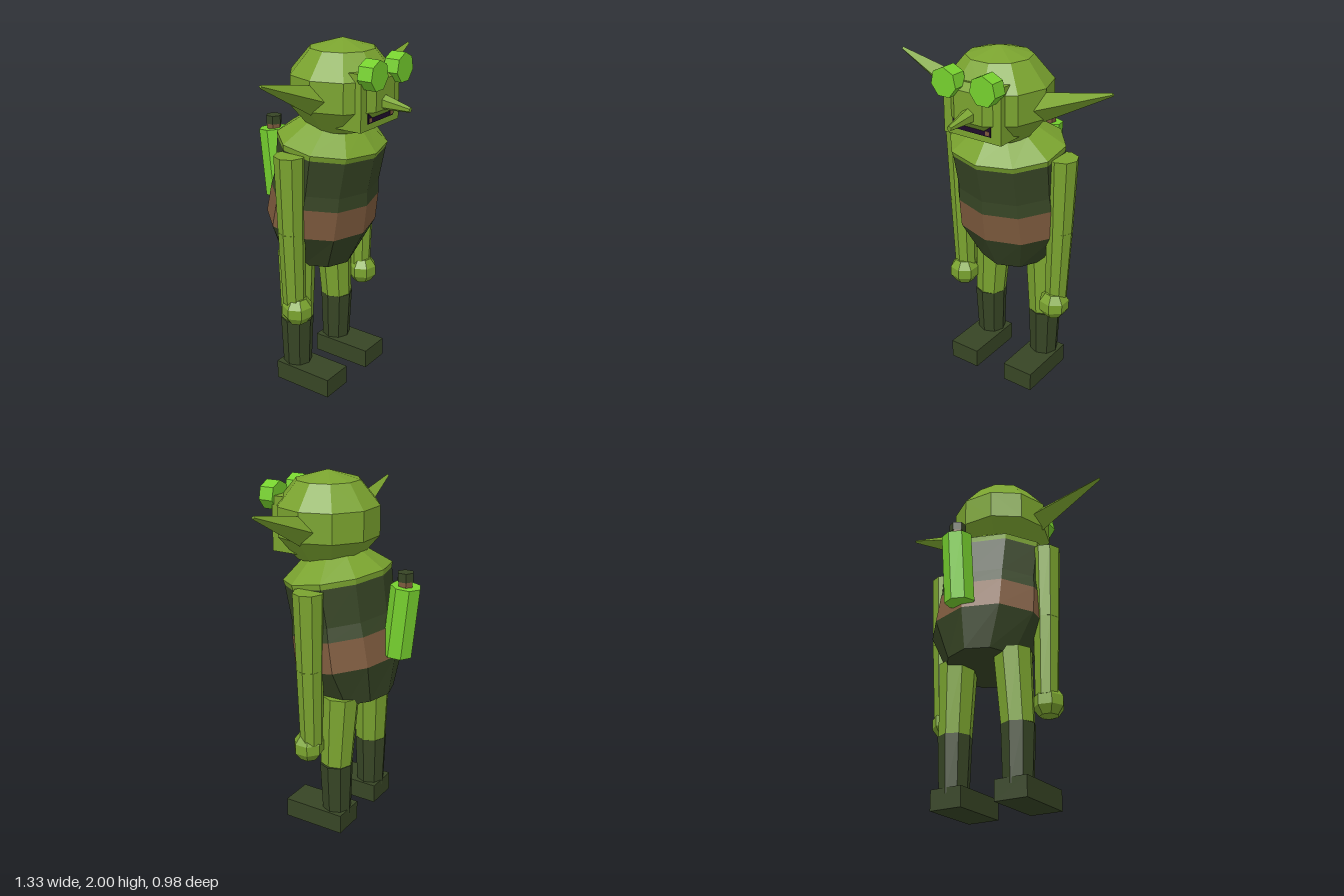
import * as THREE from 'three';

const paint = (name, color) => {
  const m = new THREE.MeshStandardMaterial({ color });
  m.name = name;
  return m;
};

export function createModel() {
  const skin = paint('skin green', 0x7aa32f);
  const glow = paint('bright green', 0x76d02e);
  const cloth = paint('dark green cloth', 0x374525);
  const leather = paint('brown leather', 0x7d5a3d);
  const mouthDark = paint('mouth purple', 0x1f0c2a);

  const model = new THREE.Group();
  model.name = 'creature';

  // Adds a faceted mesh
  function add(name, geometry, material, parent = model) {
    const flat = geometry.index ? geometry.toNonIndexed() : geometry;
    flat.computeVertexNormals();
    const mesh = new THREE.Mesh(flat, material);
    mesh.name = name;
    parent.add(mesh);
    return mesh;
  }

  // Tapered prism running from point a to point b
  function taper(name, a, b, ra, rb, sides, material, turn = 0) {
    const from = new THREE.Vector3(...a), to = new THREE.Vector3(...b);
    const axis = to.clone().sub(from);
    const mesh = add(name, new THREE.CylinderGeometry(rb, ra, axis.length(), sides, 1, false, turn), material);
    mesh.position.copy(from).add(to).multiplyScalar(0.5);
    mesh.quaternion.setFromUnitVectors(new THREE.Vector3(0, 1, 0), axis.normalize());
    return mesh;
  }

  function box(name, w, h, d, x, y, z, material) {
    const mesh = add(name, new THREE.BoxGeometry(w, h, d), material);
    mesh.position.set(x, y, z);
    return mesh;
  }

  // Torso: ten-sided rings [height, x radius, z radius] along a forward-leaning axis
  const torso = new THREE.Group();
  torso.name = 'torso';
  torso.position.set(0, 0.98, -0.07);
  torso.rotation.x = 0.163;
  model.add(torso);
  const rings = [
    [-0.222, 0.225, 0.218], [0, 0.347, 0.29], [0.168, 0.338, 0.283], [0.245, 0.325, 0.272],
    [0.452, 0.334, 0.28], [0.482, 0.338, 0.287], [0.58, 0.19, 0.176], [0.62, 0.01, 0.01],
  ];
  const sections = [
    ['shirtHem', cloth], ['belt', leather], ['shirtMiddle', cloth], ['shirtChest', cloth],
    ['collar', skin], ['shoulders', skin], ['neck', skin],
  ];
  sections.forEach(([name, material], i) => {
    const [lo, hi] = [rings[i], rings[i + 1]];
    const geometry = new THREE.CylinderGeometry(1, 1, 1, 10, 1, i > 0);
    const p = geometry.attributes.position;
    for (let k = 0; k < p.count; k++) {
      const [t, rx, rz] = p.getY(k) > 0 ? hi : lo;
      p.setXYZ(k, p.getX(k) * rx, t, p.getZ(k) * rz);
    }
    add(name, geometry, material, torso);
  });

  // Head and face
  const head = add('head', new THREE.SphereGeometry(0.3, 10, 5), skin);
  head.scale.y = 0.26 / 0.3;
  head.position.set(0, 1.74, 0.07);
  box('face', 0.36, 0.3, 0.2, 0, 1.715, 0.21, skin);
  taper('nose', [0, 1.7, 0.29], [0, 1.677, 0.49], 0.05, 0.014, 6, skin);

  // Mouth: thin plate with a notched upper lip
  const lips = new THREE.Shape();
  [[-0.12, 1.6], [0.12, 1.6], [0.12, 1.655], [0.09, 1.655], [0, 1.63], [-0.09, 1.655], [-0.12, 1.655]]
    .forEach(([x, y], i) => (i ? lips.lineTo(x, y) : lips.moveTo(x, y)));
  add('mouth', new THREE.ExtrudeGeometry(lips, { depth: 0.006, bevelEnabled: false }), mouthDark)
    .position.z = 0.309;

  for (const s of [1, -1]) {
    const side = s > 0 ? 'left' : 'right';
    box(side + 'Tooth', 0.024, 0.022, 0.008, s * 0.1, 1.618, 0.314, leather);

    // Goggle eye
    const eye = add(side + 'Eye', new THREE.CylinderGeometry(0.08, 0.08, 0.085, 7), glow);
    eye.rotation.x = -Math.PI / 2;
    eye.position.set(s * 0.12, 1.857, 0.338);

    // Ear
    taper(side + 'Ear', [s * 0.25, 1.715, 0.07], [s * 0.66, 1.866, 0.07], 0.077, 0.009, 4, skin);

    // Arm and hand
    taper(side + 'UpperArm', [s * 0.335, 1.0, -0.022], [s * 0.34, 1.43, -0.022], 0.074, 0.085, 8, skin);
    taper(side + 'Forearm', [s * 0.323, 0.56, -0.02], [s * 0.335, 1.0, -0.022], 0.064, 0.074, 8, skin);
    const hand = add(side + 'Hand', new THREE.SphereGeometry(0.09, 7, 5), skin);
    hand.position.set(s * 0.323, 0.53, 0);

    // Leg, boot and foot
    taper(side + 'Leg', [s * 0.195, 0.4, -0.103], [s * 0.175, 0.81, -0.115], 0.092, 0.108, 8, skin);
    taper(side + 'Boot', [s * 0.195, 0.08, -0.105], [s * 0.197, 0.4, -0.103], 0.082, 0.095, 8, cloth);
    box(side + 'Foot', 0.19, 0.112, 0.365, s * 0.195, 0.056, -0.002, cloth);
  }

  // Canister on the back
  taper('tank', [0, 1.045, -0.37], [0, 1.435, -0.41], 0.083, 0.083, 7, glow, Math.PI);
  taper('tankCollar', [0, 1.43, -0.405], [0, 1.462, -0.405], 0.042, 0.042, 6, leather);
  taper('tankCap', [0, 1.462, -0.405], [0, 1.51, -0.405], 0.046, 0.046, 6, cloth);

  return model;
}
